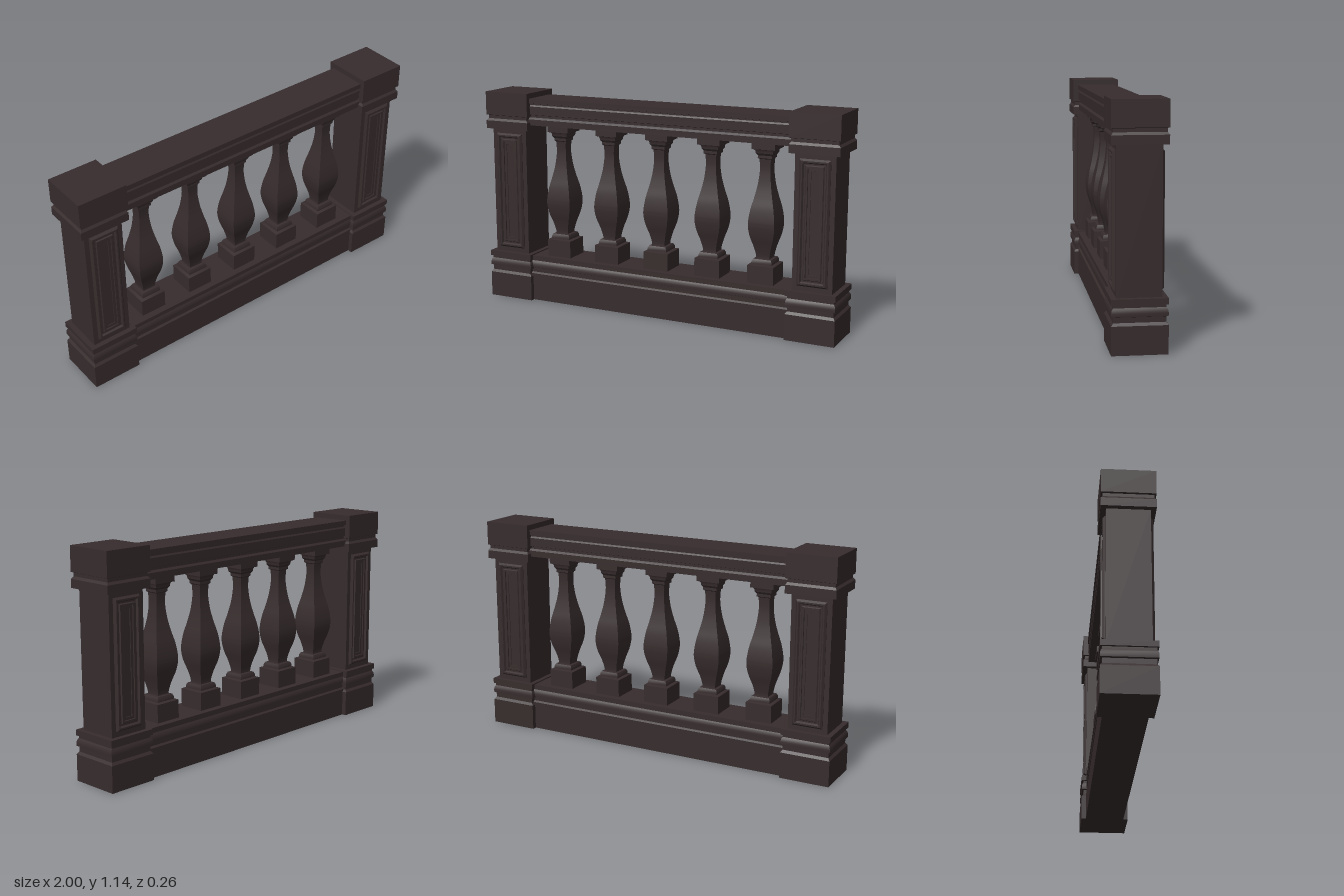
import * as THREE from 'three';
import { toCreasedNormals } from 'three/addons/utils/BufferGeometryUtils.js';

// Stack of rectangular cross-sections [halfX, halfZ, y], capped at both ends
function loft(rings) {
  const pos = [], idx = [];
  for (const [hx, hz, y] of rings) {
    pos.push(hx, y, hz, hx, y, -hz, -hx, y, -hz, -hx, y, hz);
  }
  for (let i = 0; i < rings.length - 1; i++) {
    for (let k = 0; k < 4; k++) {
      const a = i * 4 + k, b = i * 4 + (k + 1) % 4;
      idx.push(a, b, b + 4, a, b + 4, a + 4);
    }
  }
  const t = (rings.length - 1) * 4;
  idx.push(0, 2, 1, 0, 3, 2, t, t + 1, t + 2, t, t + 2, t + 3);
  const geo = new THREE.BufferGeometry();
  geo.setAttribute('position', new THREE.Float32BufferAttribute(pos, 3));
  geo.setIndex(idx);
  return toCreasedNormals(geo, 0.45);
}

const square = (profile) => loft(profile.map(([h, y]) => [h, h, y]));
const beam = (halfLength, profile) => loft(profile.map(([h, y]) => [halfLength, h, y]));

export function createModel() {
  const model = new THREE.Group();
  model.name = 'balustrade';
  const stone = new THREE.MeshStandardMaterial({ color: 0x372c2d });
  stone.name = 'dark brown stone';

  const add = (parent, name, geo, x = 0) => {
    const mesh = new THREE.Mesh(geo, stone);
    mesh.name = name;
    mesh.position.x = x;
    parent.add(mesh);
    return mesh;
  };

  // Post parts
  const postBase = square([
    [0.13, 0], [0.13, 0.135], [0.12, 0.148], [0.12, 0.173], [0.129, 0.176],
    [0.13, 0.192], [0.127, 0.206], [0.121, 0.216], [0.121, 0.228], [0.13, 0.229], [0.13, 0.258],
  ]);
  const postShaft = square([[0.104, 0.25], [0.104, 0.95]]);
  const postCap = square([
    [0.13, 0.945], [0.13, 0.988], [0.121, 1.0], [0.121, 1.017], [0.13, 1.02], [0.13, 1.145],
  ]);
  // Framed panel: nested steps moving inward, then turned to face +z
  const panel = loft([
    [0.079, 0.318, 0], [0.079, 0.318, 0.003], [0.07, 0.309, 0.014], [0.062, 0.301, 0.014],
    [0.056, 0.295, 0.004], [0.048, 0.287, 0.004], [0.044, 0.283, 0.01], [0.035, 0.274, 0.01],
    [0.034, 0.273, 0.004], [0.02, 0.259, 0.004], [0.019, 0.258, 0.001],
  ]).rotateX(Math.PI / 2).translate(0, 0.602, 0.104);

  for (const side of [-1, 1]) {
    const post = new THREE.Group();
    post.name = side > 0 ? 'leftPost' : 'rightPost';
    post.position.x = side * 0.87;
    add(post, 'postBase', postBase);
    add(post, 'postShaft', postShaft);
    add(post, 'postCap', postCap);
    add(post, 'frontPanel', panel);
    add(post, 'backPanel', panel).rotation.y = Math.PI;
    model.add(post);
  }

  // Rails, with their ends let into the posts
  add(model, 'bottomRail', beam(0.77, [
    [0.105, 0], [0.105, 0.15], [0.096, 0.158], [0.096, 0.182], [0.104, 0.185],
    [0.105, 0.2], [0.101, 0.214], [0.096, 0.222], [0.096, 0.228], [0.105, 0.229], [0.105, 0.252],
  ]));
  add(model, 'topRail', beam(0.77, [
    [0.099, 0.973], [0.099, 1.005], [0.09, 1.015], [0.09, 1.028], [0.1, 1.031],
    [0.1, 1.075], [0.095, 1.083], [0.095, 1.09], [0.105, 1.092], [0.105, 1.117],
  ]));

  // Baluster: square foot, swelling vase-shaped body, stepped head
  const foot = square([
    [0.07, 0.245], [0.07, 0.345], [0.054, 0.35], [0.054, 0.362], [0.048, 0.375], [0.034, 0.378],
  ]);
  const body = square(new THREE.SplineCurve([
    [0.036, 0.37], [0.037, 0.395], [0.047, 0.44], [0.062, 0.49], [0.07, 0.54], [0.069, 0.58],
    [0.061, 0.635], [0.048, 0.69], [0.036, 0.75], [0.029, 0.81], [0.028, 0.85], [0.031, 0.895],
  ].map(([h, y]) => new THREE.Vector2(h, y))).getPoints(44).map((p) => [p.x, p.y]));
  const head = square([
    [0.03, 0.885], [0.037, 0.89], [0.037, 0.904], [0.045, 0.915], [0.046, 0.926],
    [0.05, 0.934], [0.062, 0.937], [0.062, 0.98],
  ]);

  for (let i = -2; i <= 2; i++) {
    const baluster = new THREE.Group();
    baluster.name = `baluster${i + 3}`;
    baluster.position.x = i * 0.294 - 0.004;
    add(baluster, 'balusterFoot', foot);
    add(baluster, 'balusterBody', body);
    add(baluster, 'balusterHead', head);
    model.add(baluster);
  }
  return model;
}
